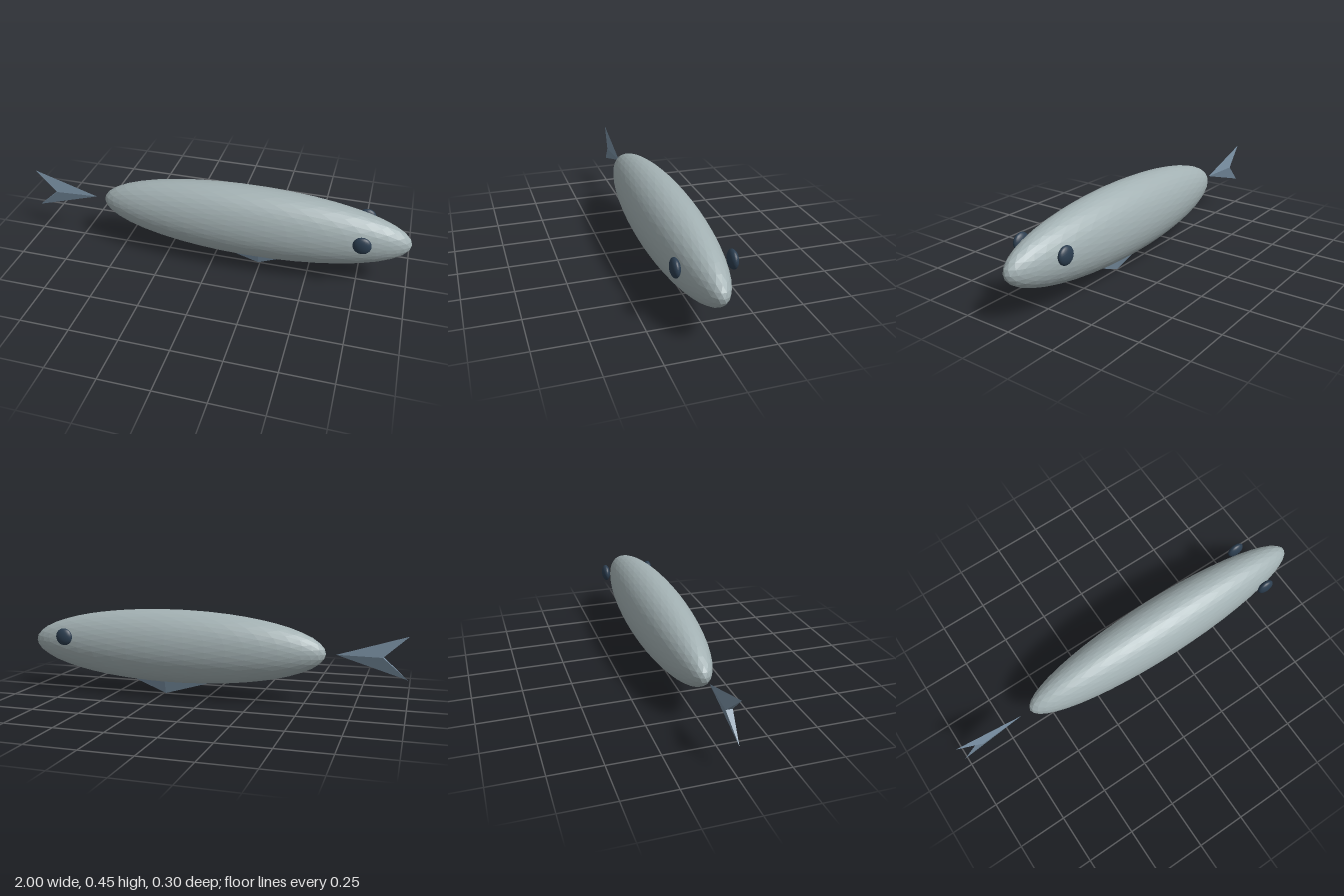
import * as THREE from 'three';

const bodyMat = new THREE.MeshStandardMaterial({ color: 0xa3b1b3, flatShading: true });
bodyMat.name = 'silver grey';
const finMat = new THREE.MeshStandardMaterial({ color: 0x778da0, flatShading: true });
finMat.name = 'slate blue';
const eyeMat = new THREE.MeshStandardMaterial({ color: 0x2c3e50, flatShading: true });
eyeMat.name = 'dark navy';

// Sphere stretched into an ellipsoid
function ellipsoid(name, detail, radii, position, material) {
  const geometry = new THREE.IcosahedronGeometry(1, detail).scale(...radii);
  const mesh = new THREE.Mesh(geometry, material);
  mesh.name = name;
  mesh.position.set(...position);
  return mesh;
}

// Faceted fin: a flat counter-clockwise outline raised to a ridge at (cx, cy, +-thickness)
function fin(name, outline, [cx, cy], thickness) {
  const points = [];
  outline.forEach(([ax, ay], i) => {
    const [bx, by] = outline[(i + 1) % outline.length];
    points.push(ax, ay, 0, bx, by, 0, cx, cy, thickness);
    points.push(bx, by, 0, ax, ay, 0, cx, cy, -thickness);
  });
  const geometry = new THREE.BufferGeometry();
  geometry.setAttribute('position', new THREE.Float32BufferAttribute(points, 3));
  geometry.computeVertexNormals();
  const mesh = new THREE.Mesh(geometry, finMat);
  mesh.name = name;
  return mesh;
}

export function createModel() {
  const group = new THREE.Group();
  group.name = 'fish';

  group.add(ellipsoid('body', 7, [0.8, 0.193, 0.147], [0.195, 0.263, 0], bodyMat));

  // Eyes, one on each flank
  for (const side of [1, -1]) {
    const name = side > 0 ? 'nearEye' : 'farEye';
    group.add(ellipsoid(name, 7, [0.045, 0.045, 0.022], [0.763, 0.305, side * 0.13], eyeMat));
  }

  // Forked tail, thickest at the notch
  group.add(fin('tail', [[-0.655, 0.263], [-1, 0.37], [-0.88, 0.263], [-1, 0.157]], [-0.88, 0.263], 0.016));

  // Belly fin, its root hidden in the body
  group.add(fin('bellyFin', [[0.24, 0.005], [0.52, 0.12], [-0.155, 0.12]], [0.24, 0.12], 0.028));

  return group;
}
